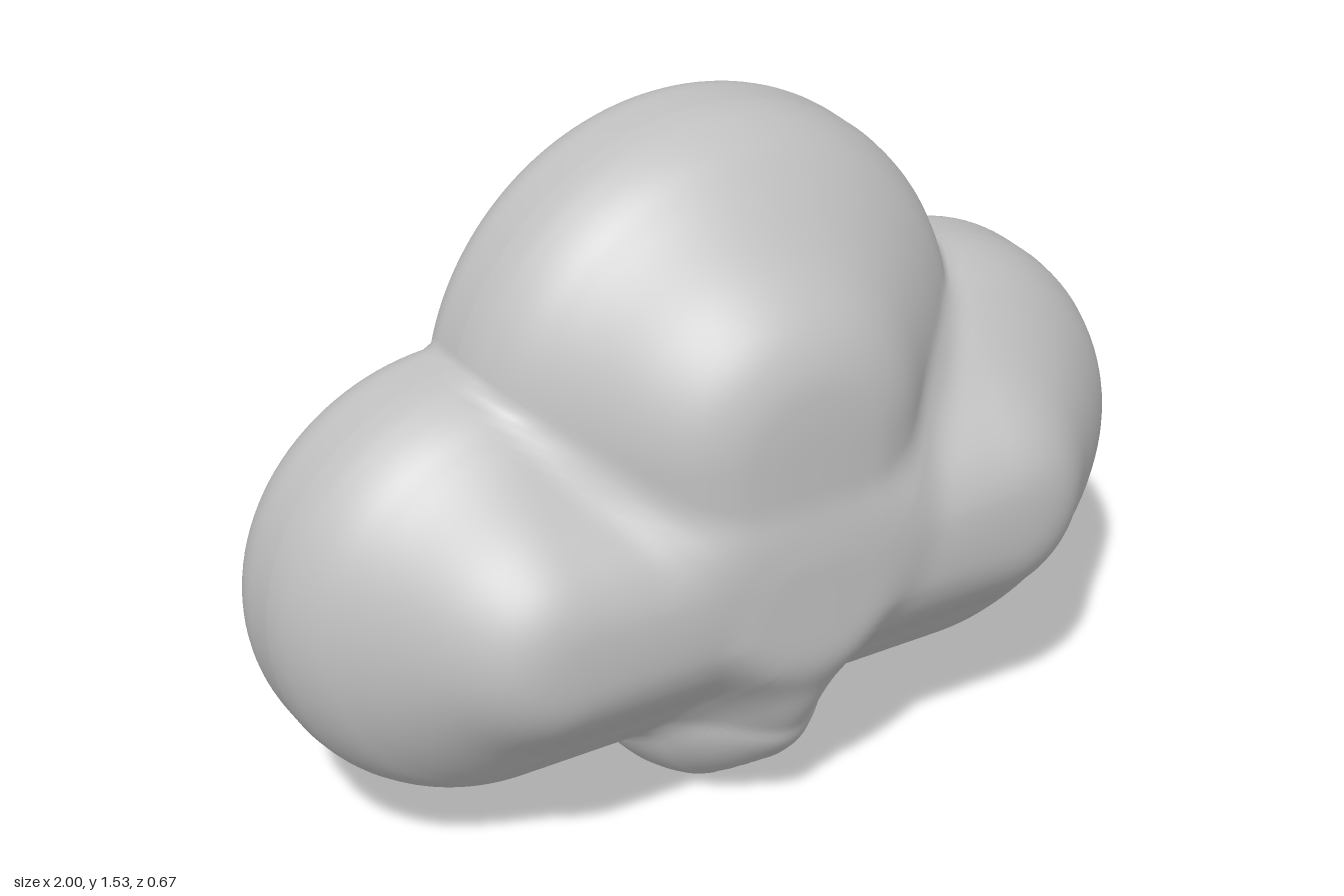
import * as THREE from 'three';

// Front swell: distance inside the outline, and the z reached there
const SWELL_D = [0, 0.005, 0.02, 0.05, 0.1, 0.23, 0.34, 0.42, 0.5, 0.6];
const SWELL_Z = [-0.13, -0.095, -0.05, 0.005, 0.058, 0.17, 0.27, 0.309, 0.323, 0.328];
const swellCurve = new THREE.CubicInterpolant(SWELL_D, SWELL_Z, 1, new Float32Array(1));
const swell = (d) => swellCurve.evaluate(Math.min(Math.max(d, 0), 0.6))[0];

// Puffs: capsules of radius r0 at y0 to r1 at y1, half wide at the core,
// with a rounded top (soft) and a steepness for the swell
const PUFFS = [
  { half: 0, y0: 0.74, y1: 0.95, r0: 0.58, r1: 0.58, soft: 0.05, steep: 1.06 },  // crown
  { half: 0.52, y0: 0.62, y1: 0.62, r0: 0.48, r1: 0.48, soft: 0.05, steep: 1.1 }, // wide body
  { half: 0, y0: 0.25, y1: 0.55, r0: 0.27, r1: 0.4, soft: 0.1, steep: 1.6 },     // lower puff
];
const CENTRE_Y = 0.65;

// Depth of a point inside one puff, cut flat at the base
function puffDepth(p, x, y) {
  const core = Math.min(Math.max(y, p.y0), p.y1);
  const r = p.y1 > p.y0 ? THREE.MathUtils.mapLinear(core, p.y0, p.y1, p.r0, p.r1) : p.r0;
  const dx = Math.max(0, Math.abs(x) - p.half);
  return Math.min(Math.hypot(r, p.soft) - Math.hypot(dx, y - core, p.soft), y);
}

const depth = (x, y) => Math.max(...PUFFS.map((p) => puffDepth(p, x, y)));

function smoothMax(a, b) {
  const k = 0.35 * Math.min(a, b);
  if (k <= 0) return Math.max(a, b);
  const h = Math.max(k - Math.abs(a - b), 0) / k;
  return Math.max(a, b) + h * h * k / 4;
}

// Blended puffs, levelled off softly towards a gently curved front
function frontZ(x, y) {
  const base = SWELL_Z[0];
  const h = PUFFS.map((p) => swell(puffDepth(p, x, y) * p.steep) - base).reduce(smoothMax);
  const z = base + h, limit = 0.34 - 0.06 * x * x, k = 0.03;
  const blend = Math.max(k - Math.abs(z - limit), 0) / k;
  return Math.min(z, limit) - blend * blend * k / 4;
}

// Slightly dished back with a rounded rim
function backZ(x, y) {
  const flat = -(0.27 + 0.08 * (x * x + (y - CENTRE_Y) ** 2));
  const t = 1 - Math.min(1, Math.max(0, depth(x, y)) / 0.12);
  return -0.2 + (flat + 0.2) * Math.sqrt(1 - t * t);
}

// Distance from the centre to the outline along one direction
function outlineRadius(c, s) {
  let lo = 0, hi = 1.3;
  for (let i = 0; i < 30; i++) {
    const mid = (lo + hi) / 2;
    if (depth(c * mid, CENTRE_Y + s * mid) > 0) lo = mid; else hi = mid;
  }
  return lo;
}

// Rings run from the front centre over the rim to the back centre
function cloudGeometry(sides = 240, rings = 50) {
  const pos = [], index = [], radii = [];
  for (let j = 0; j < sides; j++) {
    const a = (j / sides) * Math.PI * 2;
    radii.push(outlineRadius(Math.cos(a), Math.sin(a)));
  }
  const total = rings * 2 + 2;
  for (let i = 0; i < total; i++) {
    const front = i <= rings;
    const s = front ? i / rings : (total - 1 - i) / rings;
    const t = 1 - Math.pow(1 - s, 1.7);
    for (let j = 0; j < sides; j++) {
      const a = (j / sides) * Math.PI * 2;
      const x = Math.cos(a) * radii[j] * t;
      const y = CENTRE_Y + Math.sin(a) * radii[j] * t;
      pos.push(x, y, front ? frontZ(x, y) : backZ(x, y));
    }
  }
  for (let i = 0; i < total - 1; i++) {
    for (let j = 0; j < sides; j++) {
      const k = (j + 1) % sides;
      const a = i * sides + j, b = a + sides, c = (i + 1) * sides + k, d = i * sides + k;
      if (i < total - 2) index.push(a, b, c);
      else index.push(a, b, d);
      if (i > 0 && i < total - 2) index.push(a, c, d);
    }
  }
  const g = new THREE.BufferGeometry();
  g.setAttribute('position', new THREE.Float32BufferAttribute(pos, 3));
  g.setIndex(index);
  g.computeVertexNormals();
  return g;
}

export function createModel() {
  const group = new THREE.Group();
  group.name = 'cloud';
  const grey = new THREE.MeshStandardMaterial({ color: 0xc0c0c0 });
  grey.name = 'light grey';
  const body = new THREE.Mesh(cloudGeometry(), grey);
  body.name = 'cloudBody';
  group.add(body);
  return group;
}
